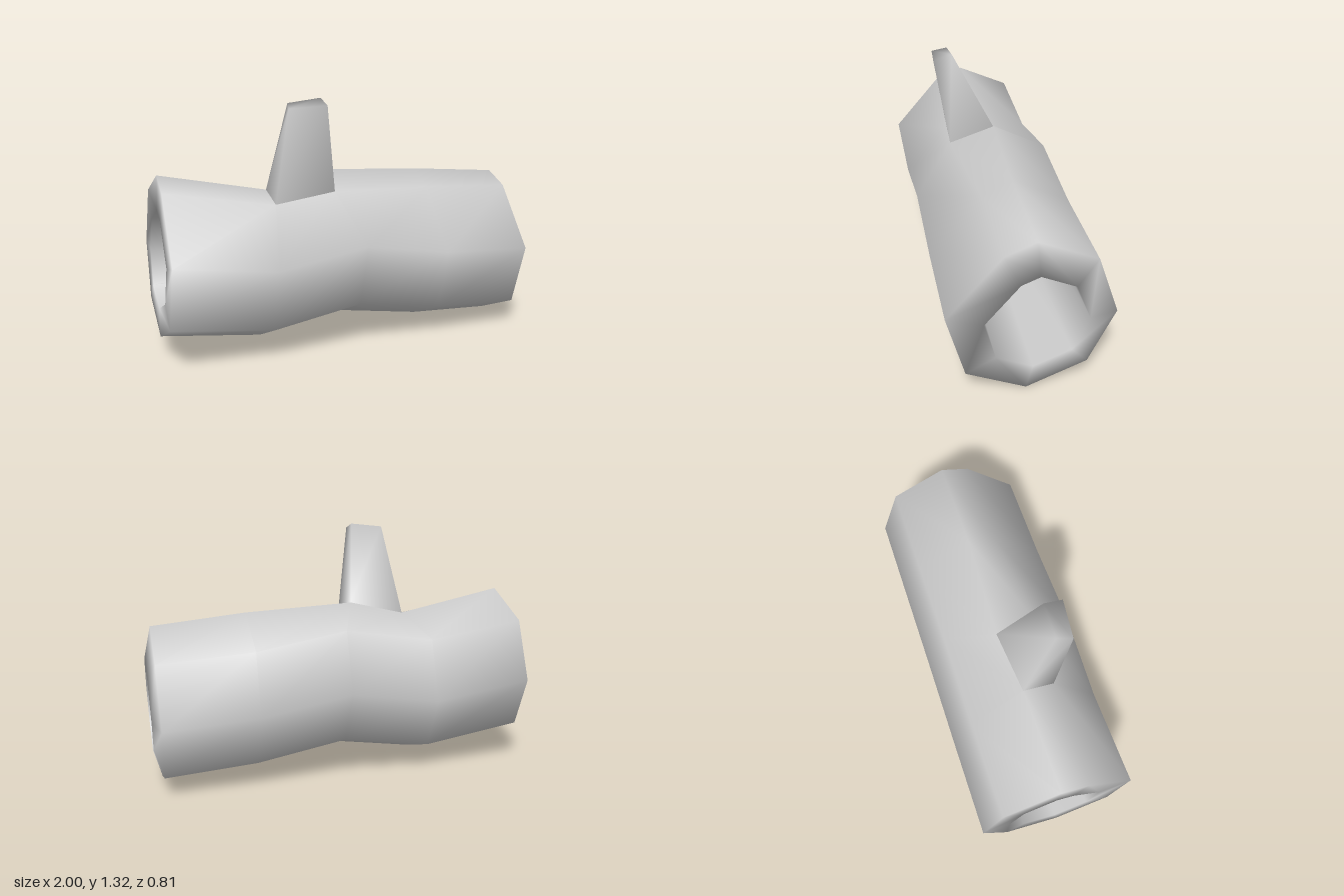
import * as THREE from 'three';

// Smooth mesh from an indexed list of corners
function smoothMesh(name, points, index) {
  const geo = new THREE.BufferGeometry();
  geo.setAttribute('position', new THREE.Float32BufferAttribute(points.flat(), 3));
  geo.setIndex(index);
  geo.computeVertexNormals();
  const mesh = new THREE.Mesh(geo, new THREE.MeshStandardMaterial({ color: 0xcccccc }));
  mesh.name = name;
  return mesh;
}

// Cross-sections as [y, z], running from the bottom round the back and over the top
const OUTER = [[0, 0.02], [0.115, -0.28], [0.4, -0.41], [0.71, -0.3],
  [0.84, -0.01], [0.78, 0.14], [0.475, 0.405], [0.14, 0.315]];
const INNER = [[0.165, 0], [0.235, -0.185], [0.41, -0.265], [0.6, -0.19],
  [0.68, -0.02], [0.645, 0.07], [0.45, 0.235], [0.25, 0.18]];

const section = (profile, lift, xAt) => profile.map(([y, z]) => [xAt(y), y + lift, z]);

export function createModel() {
  const group = new THREE.Group();
  group.name = 'hollowLog';

  // Hollow trunk: outer rings left to right, then back through the bore
  const leftEnd = (y) => -1 + 0.035 * y;
  const rings = [
    section(OUTER, 0.11, leftEnd),
    section(OUTER, 0.035, () => -0.47),
    section(OUTER, 0.11, () => 0),
    section(OUTER, 0.03, () => 0.47),
    section(OUTER, 0, (y) => 0.94 + 0.03 * y),
    section(INNER, 0, (y) => 0.98 + 0.03 * y),
    section(INNER, 0.09, leftEnd),
  ];
  // Top corners shifted to frame the branch
  rings[1][4] = [-0.41, 0.835, 0];
  rings[1][5] = [-0.41, 0.79, 0.17];
  rings[2][4] = [-0.1, 0.915, -0.04];
  rings[2][5] = [-0.1, 0.84, 0.2];
  rings[3][4][1] = 0.885;

  const n = OUTER.length;
  const trunkIndex = [];
  for (let i = 0; i < rings.length; i++) {
    const next = (i + 1) % rings.length;
    for (let j = 0; j < n; j++) {
      const k = (j + 1) % n;
      const a = i * n + j, b = next * n + j, c = i * n + k, d = next * n + k;
      trunkIndex.push(a, c, b, b, c, d);
    }
  }
  group.add(smoothMesh('trunk', rings.flat(), trunkIndex));

  // Tapered branch stub rising from the framed face
  const base = [rings[1][5], rings[1][4], rings[2][4], rings[2][5]];
  const tip = [[-0.36, 1.28, 0.25], [-0.34, 1.3, 0.17], [-0.165, 1.32, 0.17], [-0.165, 1.29, 0.268]];
  const branchIndex = [4, 6, 5, 4, 7, 6];
  for (let j = 0; j < 4; j++) {
    const k = (j + 1) % 4;
    branchIndex.push(j, j + 4, k, k, j + 4, k + 4);
  }
  group.add(smoothMesh('branch', [...base, ...tip], branchIndex));

  return group;
}
